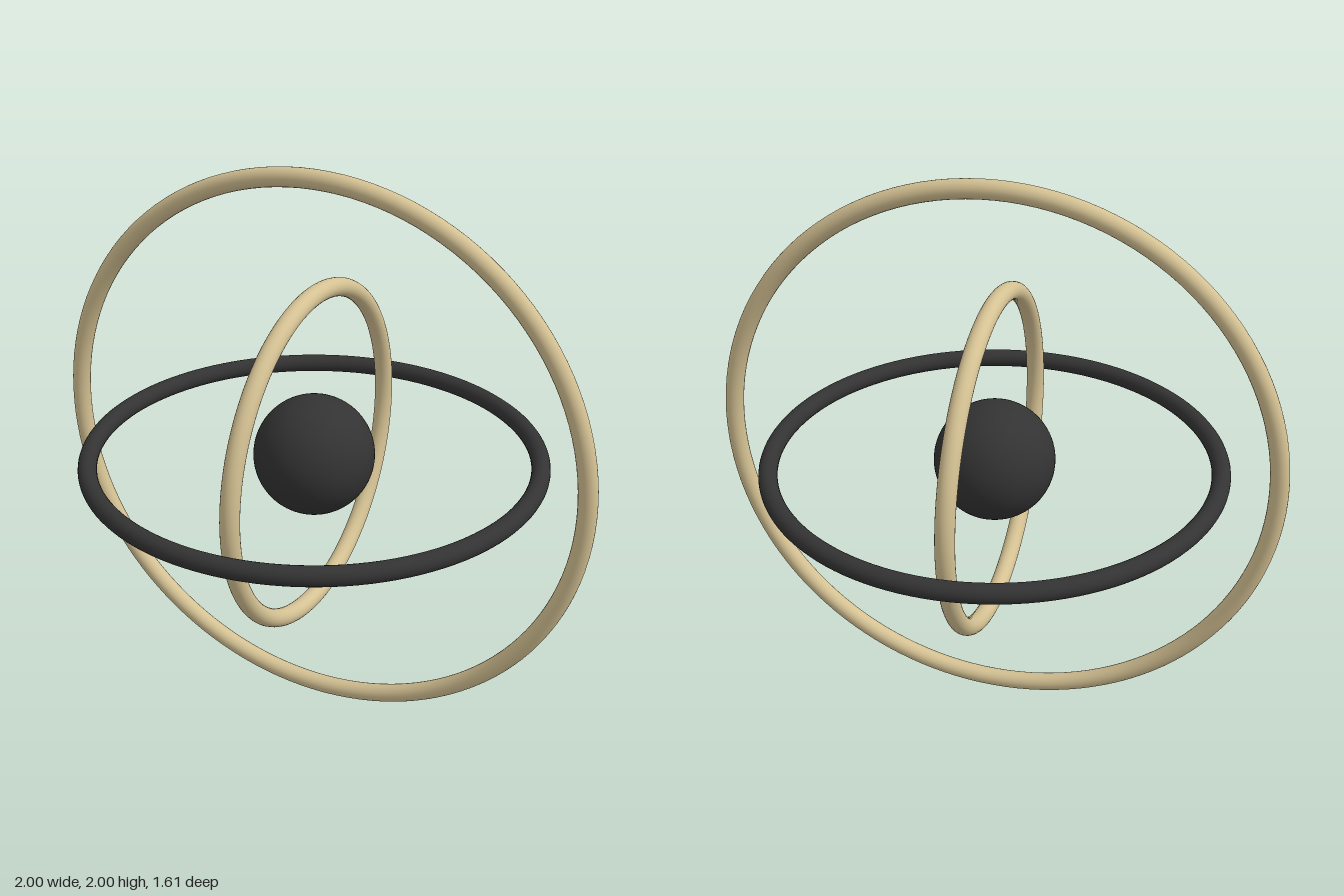
import * as THREE from 'three';

const UNIT = 1 / 31; // tube radius; all sizes are multiples of it

export function createModel() {
  const model = new THREE.Group();
  model.name = 'gyroscopeRings';

  const brass = new THREE.MeshStandardMaterial({ color: 0xd4c193 });
  brass.name = 'pale brass';
  const charcoal = new THREE.MeshStandardMaterial({ color: 0x333333 });
  charcoal.name = 'charcoal';

  const add = (name, geometry, material) => {
    const mesh = new THREE.Mesh(geometry, material);
    mesh.name = name;
    mesh.position.y = 1;
    model.add(mesh);
    return mesh;
  };
  const ring = (name, radius, material) =>
    add(name, new THREE.TorusGeometry(radius * UNIT, UNIT, 24, 128), material);

  // Core ball
  add('core', new THREE.SphereGeometry(6.5 * UNIT, 64, 40), charcoal);

  // Three rings, each in its own plane
  ring('outerRing', 30, brass);
  ring('middleRing', 24, charcoal).rotation.x = Math.PI / 2;
  ring('innerRing', 18, brass).rotation.y = Math.PI / 2;

  return model;
}
